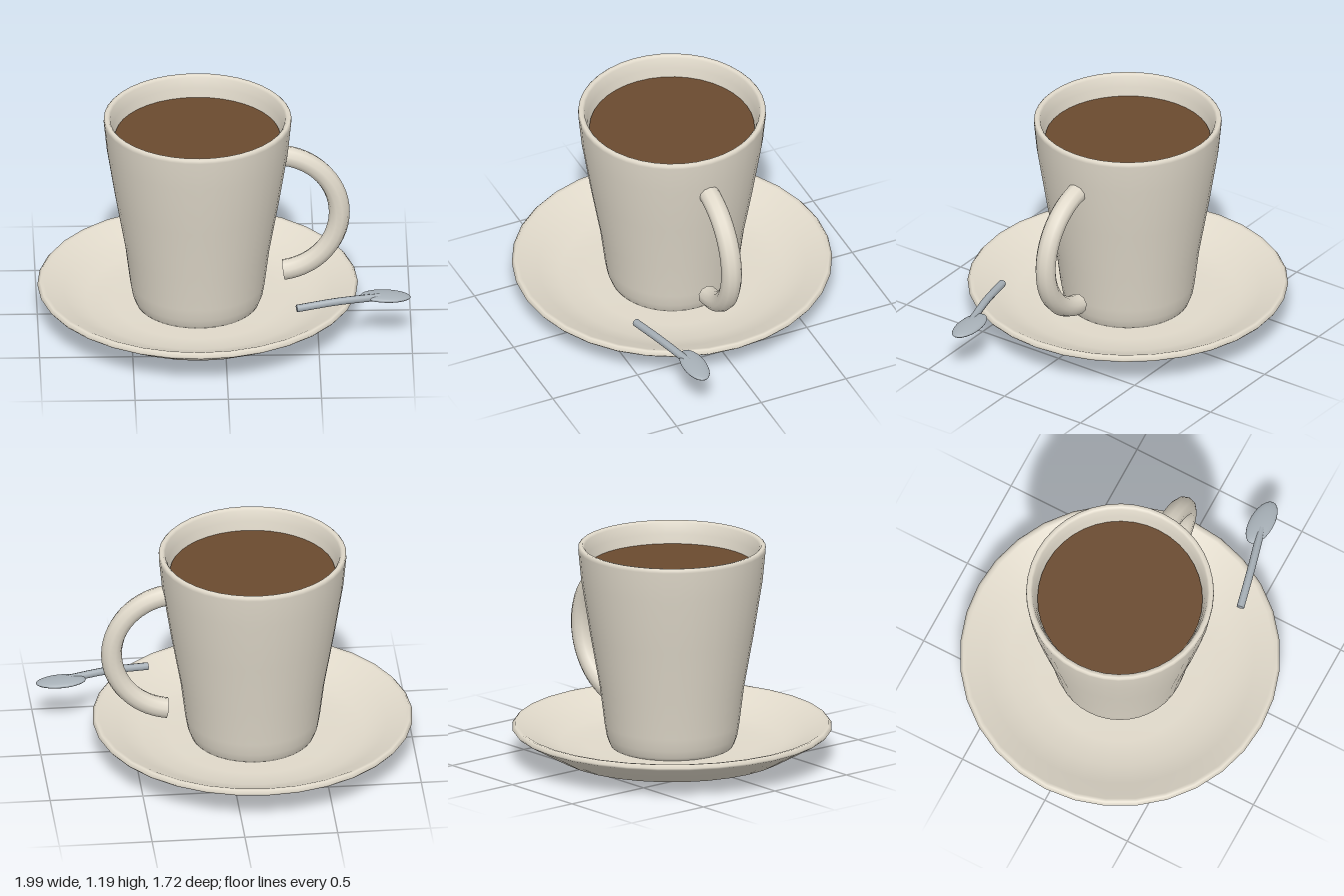
import * as THREE from 'three';

const CUP_X = -0.14;

export function createModel() {
  const model = new THREE.Group();
  const material = (name, color) => {
    const m = new THREE.MeshStandardMaterial({ color });
    m.name = name;
    return m;
  };
  const ceramic = material('cream ceramic', 0xe0d9ca);
  const coffeeBrown = material('coffee brown', 0x6a4a2f);
  const steel = material('steel', 0xa6afb6);

  const add = (name, geometry, mat, parent = model) => {
    const mesh = new THREE.Mesh(geometry, mat);
    mesh.name = name;
    parent.add(mesh);
    return mesh;
  };
  const lathe = (name, profile, segments) => {
    const points = profile.map(([r, y]) => new THREE.Vector2(r, y));
    const mesh = add(name, new THREE.LatheGeometry(points, segments), ceramic);
    mesh.position.x = CUP_X;
    return mesh;
  };

  // Saucer: underside, rounded lip, then the dished top
  lathe('saucer', [
    [0, 0], [0.34, 0], [0.63, 0.04], [0.85, 0.165], [0.86, 0.178], [0.845, 0.196],
    [0.825, 0.193], [0.72, 0.142], [0.6, 0.092], [0.45, 0.075], [0, 0.072],
  ], 32);

  // Cup: foot, flaring outer wall, rounded rim, inner wall and floor
  lathe('cup', [
    [0, 0.07], [0.325, 0.07], [0.335, 0.09], [0.35, 0.13], [0.362, 0.2], [0.387, 0.4],
    [0.44, 0.7], [0.488, 1.0], [0.504, 1.165], [0.503, 1.18], [0.495, 1.188],
    [0.48, 1.186], [0.47, 1.175], [0.455, 1.12], [0.435, 1.0], [0.39, 0.7],
    [0.32, 0.2], [0.28, 0.13], [0, 0.12],
  ], 40);

  // Coffee surface
  const coffee = add('coffee', new THREE.CircleGeometry(0.443, 40), coffeeBrown);
  coffee.rotation.x = -Math.PI / 2;
  coffee.position.set(CUP_X, 1.07, 0);

  // Cup handle: an arc with closed ends
  const handle = new THREE.Group();
  handle.name = 'cupHandle';
  handle.position.set(0.27, 0.6, 0);
  model.add(handle);
  const R = 0.35, r = 0.056, reach = 1.43;
  const arc = add('handleArc', new THREE.TorusGeometry(R, r, 10, 28, reach * 2), ceramic, handle);
  arc.rotation.z = -reach;
  for (const side of [-1, 1]) {
    const cap = add('handleEnd', new THREE.CircleGeometry(r, 10), ceramic, handle);
    const a = side * reach;
    cap.position.set(R * Math.cos(a), R * Math.sin(a), 0);
    cap.lookAt(cap.position.clone().add(new THREE.Vector3(-Math.sin(a), Math.cos(a), 0).multiplyScalar(side)));
    // lookAt works in world space, so aim again from the placed handle
    const aim = handle.position.clone().add(cap.position)
      .add(new THREE.Vector3(-Math.sin(a), Math.cos(a), 0).multiplyScalar(side));
    handle.updateMatrixWorld(true);
    cap.lookAt(aim);
  }

  // Spoon: slightly bowed stem with a closed tail, and a flat oval bowl
  const spoon = new THREE.Group();
  spoon.name = 'spoon';
  model.add(spoon);
  const path = new THREE.CatmullRomCurve3([
    new THREE.Vector3(0.38, 0.257, 0.455),
    new THREE.Vector3(0.6, 0.27, 0.405),
    new THREE.Vector3(0.83, 0.264, 0.345),
  ]);
  add('spoonStem', new THREE.TubeGeometry(path, 12, 0.021, 8), steel, spoon);
  const tail = add('spoonTail', new THREE.CircleGeometry(0.021, 8), steel, spoon);
  tail.position.copy(path.getPoint(0));
  tail.lookAt(path.getPoint(0).sub(path.getTangent(0)));
  const bowl = add('spoonBowl', new THREE.SphereGeometry(1, 24, 12), steel, spoon);
  bowl.scale.set(0.135, 0.021, 0.066);
  bowl.position.set(0.86, 0.26, 0.33);
  bowl.rotation.z = -0.05;

  return model;
}
